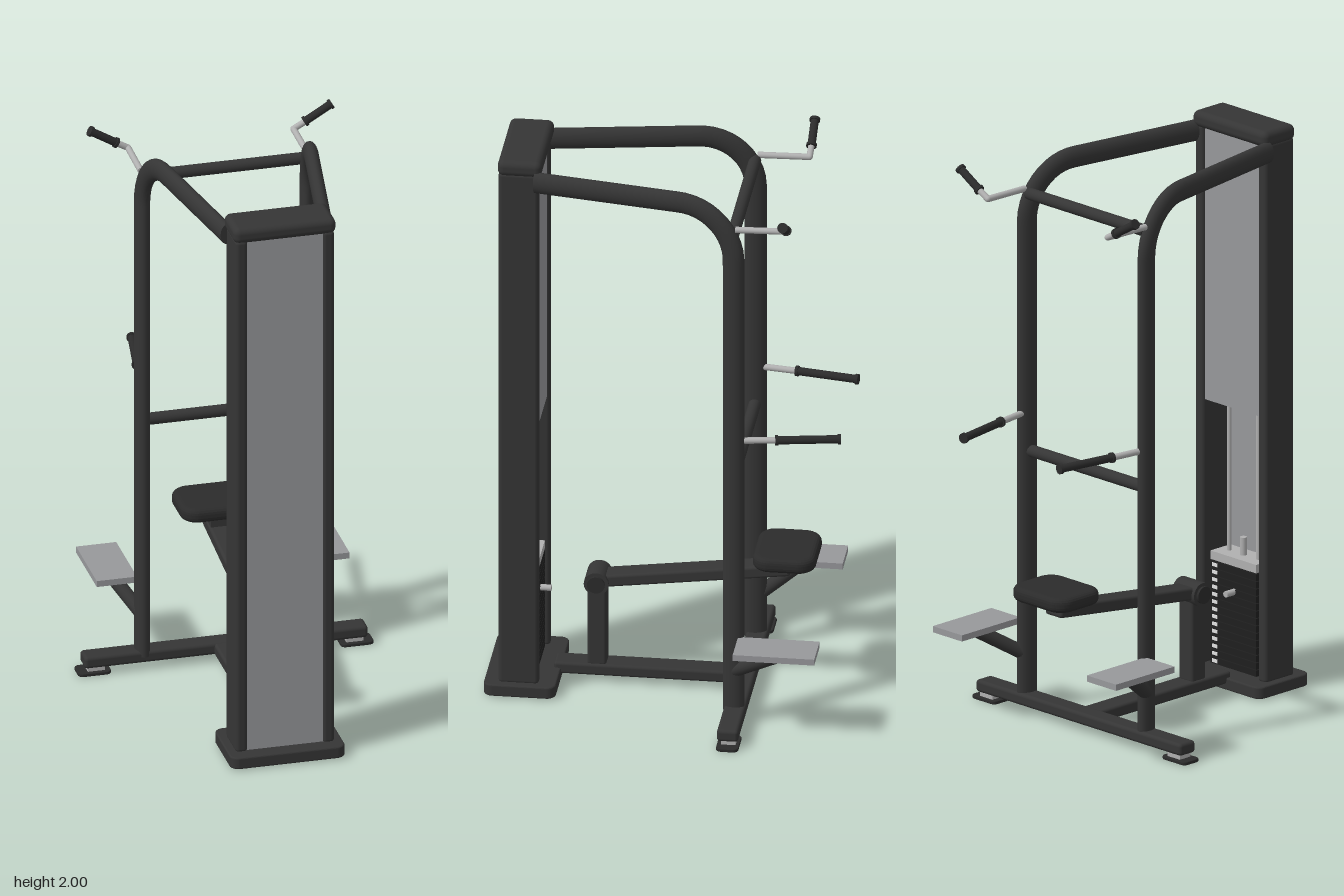
import * as THREE from 'three';
import { RoundedBoxGeometry } from 'three/addons/geometries/RoundedBoxGeometry.js';

export function createModel() {
  const model = new THREE.Group();
  model.name = 'gymMachine';
  const mat = (name, color) => {
    const m = new THREE.MeshStandardMaterial({ color });
    m.name = name;
    return m;
  };
  const frame = mat('frameCharcoal', 0x353535);
  const pad = mat('padBlack', 0x2b2b2b);
  const stackBlack = mat('stackBlack', 0x1f1f1f);
  const panel = mat('panelGrey', 0x97989b);
  const steel = mat('steel', 0xb0b0b0);
  const label = mat('labelWhite', 0xe0e0e0);

  const V = (x, y, z) => new THREE.Vector3(x, y, z);
  const add = (name, geo, material, parent = model) => {
    const m = new THREE.Mesh(geo, material);
    m.name = name;
    parent.add(m);
    return m;
  };
  // Box given by its extents along x, y and z; r rounds the edges
  const box = (name, material, [x0, x1], [y0, y1], [z0, z1], r = 0) => {
    const s = [x1 - x0, y1 - y0, z1 - z0];
    const geo = r ? new RoundedBoxGeometry(...s, 4, r) : new THREE.BoxGeometry(...s);
    const m = add(name, geo, material);
    m.position.set((x0 + x1) / 2, (y0 + y1) / 2, (z0 + z1) / 2);
    return m;
  };
  // Extents mirrored for the side s
  const side = (s, a, b) => (s > 0 ? [a, b] : [-b, -a]);
  // Round bar between two points
  const rod = (name, material, a, b, r) => {
    const d = b.clone().sub(a);
    const m = add(name, new THREE.CylinderGeometry(r, r, d.length(), 20), material);
    m.position.copy(a).add(b).multiplyScalar(0.5);
    m.quaternion.setFromUnitVectors(V(0, 1, 0), d.normalize());
    return m;
  };
  // Hand grip with an end flange at each end
  const grip = (name, a, b) => {
    rod(name, pad, a, b, 0.014);
    const d = b.clone().sub(a).normalize().multiplyScalar(0.01);
    rod(name + 'InnerFlange', pad, a, a.clone().add(d), 0.018);
    rod(name + 'OuterFlange', pad, b.clone().sub(d), b, 0.018);
  };
  // Rounded rectangle plate lying flat
  const plate = (w, d, h, r, bevel) => {
    const x = w / 2 - bevel, y = d / 2 - bevel;
    const sh = new THREE.Shape();
    sh.moveTo(-x + r, -y);
    sh.lineTo(x - r, -y).absarc(x - r, -y + r, r, -Math.PI / 2, 0, false);
    sh.lineTo(x, y - r).absarc(x - r, y - r, r, 0, Math.PI / 2, false);
    sh.lineTo(-x + r, y).absarc(-x + r, y - r, r, Math.PI / 2, Math.PI, false);
    sh.lineTo(-x, -y + r).absarc(-x + r, -y + r, r, Math.PI, Math.PI * 1.5, false);
    const g = new THREE.ExtrudeGeometry(sh, {
      depth: h - 2 * bevel, bevelEnabled: true, bevelSize: bevel,
      bevelThickness: bevel, bevelSegments: 4, curveSegments: 8,
    });
    return g.rotateX(-Math.PI / 2).translate(0, bevel, 0);
  };

  // Weight tower shell
  add('towerBase', plate(0.4, 0.245, 0.043, 0.025, 0.006), frame).position.set(0, 0.004, 0.488);
  box('towerCap', frame, [-0.178, 0.178], [1.943, 2], [0.415, 0.565], 0.022);
  box('frontPanel', panel, [-0.135, 0.135], [0.045, 1.95], [0.548, 0.555]);
  box('backPanel', panel, [-0.135, 0.135], [0.98, 1.95], [0.435, 0.442]);
  for (const s of [1, -1]) {
    box('towerPost', frame, side(s, 0.13, 0.172), [0.04, 1.955], [0.425, 0.562], 0.014);
    rod('guideRod', steel, V(s * 0.07, 0.045, 0.49), V(s * 0.07, 1.95, 0.49), 0.008);
  }

  // Weight stack with labels, top plate, stem and selector pin
  for (let i = 0; i < 14; i++) {
    const y = 0.05 + i * 0.0262;
    box('weightPlate', stackBlack, [-0.11, 0.11], [y, y + 0.022], [0.44, 0.535]);
    box('weightLabel', label, [0.075, 0.1], [y + 0.005, y + 0.017], [0.437, 0.44]);
  }
  box('stackCore', stackBlack, [-0.105, 0.105], [0.05, 0.415], [0.447, 0.53]);
  box('stackTopPlate', steel, [-0.11, 0.11], [0.417, 0.447], [0.44, 0.535]);
  rod('stackStem', steel, V(0, 0.44, 0.488), V(0, 0.51, 0.488), 0.012);
  rod('selectorPin', steel, V(0, 0.325, 0.403), V(0, 0.325, 0.445), 0.011);

  // Bent side frames: an oval tube up, round the bend and forward to the tower
  const path = new THREE.CurvePath();
  path.add(new THREE.LineCurve3(V(0, 0.05, 0), V(0, 1.735, 0)));
  path.add(new THREE.CubicBezierCurve3(V(0, 1.735, 0), V(0, 1.84, 0), V(0, 1.927, 0.087), V(0, 1.927, 0.192)));
  path.add(new THREE.LineCurve3(V(0, 1.927, 0.192), V(0, 1.927, 0.7)));
  const tubeGeo = new THREE.TubeGeometry(path, 90, 0.0375, 20, false);
  for (const s of [1, -1]) {
    const g = new THREE.Group();
    g.name = 'sideFrame';
    g.position.set(s * 0.287, 0, -0.253);
    g.rotation.y = -s * 0.168;
    g.scale.x = 0.66;
    model.add(g);
    add('sideTube', tubeGeo, frame, g);
    add('sideTubeEnd', new THREE.CircleGeometry(0.0375, 20), frame, g).position.set(0, 1.927, 0.7);
  }
  rod('upperCrossbar', frame, V(-0.28, 1.835, -0.252), V(0.28, 1.835, -0.252), 0.021);
  rod('middleCrossbar', frame, V(-0.28, 0.925, -0.252), V(0.28, 0.925, -0.252), 0.021);

  // Floor frame
  box('rearFloorBar', frame, [-0.493, 0.493], [0.027, 0.07], [-0.295, -0.222], 0.012);
  box('centreFloorBeam', frame, [-0.042, 0.042], [0.025, 0.067], [-0.235, 0.39], 0.01);
  for (const s of [1, -1]) {
    add('floorPad', plate(0.115, 0.076, 0.012, 0.015, 0.003), pad).position.set(s * 0.457, 0, -0.259);
    box('floorPadBlock', steel, side(s, 0.42, 0.48), [0.011, 0.03], [-0.285, -0.235]);
  }

  // Seat post, pivot and swinging arm
  box('pivotPost', frame, [-0.034, 0.034], [0.06, 0.37], [0.213, 0.278], 0.01);
  rod('pivotHub', frame, V(-0.052, 0.373, 0.245), V(0.052, 0.373, 0.245), 0.042);
  rod('pivotCap', pad, V(-0.061, 0.373, 0.245), V(0.061, 0.373, 0.245), 0.03);
  const arm = box('seatArm', frame, [-0.04, 0.04], [-0.022, 0.022], [-0.33, 0.33], 0.01);
  arm.position.set(0, 0.417, -0.083);
  arm.rotation.x = 0.128;
  box('seatBracket', frame, [-0.035, 0.035], [0.455, 0.492], [-0.4, -0.3]);
  add('seat', plate(0.262, 0.215, 0.052, 0.04, 0.02), pad).position.set(0, 0.488, -0.398);

  for (const s of [1, -1]) {
    // Foot plates on slanted supports
    box('footPlate', panel, side(s, 0.3, 0.44), [0.308, 0.33], [-0.547, -0.27]);
    rod('footPlateSupport', frame, V(s * 0.285, 0.195, -0.25), V(s * 0.372, 0.303, -0.415), 0.024);

    // Middle handles
    rod('middleHandleRod', steel, V(s * 0.287, 1.06, -0.26), V(s * 0.267, 1.06, -0.4), 0.011);
    grip('middleHandleGrip', V(s * 0.268, 1.06, -0.392), V(s * 0.23, 1.06, -0.61));

    // Upper handles
    const elbow = V(s * 0.288, 1.856, -0.436);
    rod('upperHandleRod', steel, V(s * 0.289, 1.852, -0.26), elbow, 0.011);
    add('upperHandleElbow', new THREE.SphereGeometry(0.011, 16, 10), steel).position.copy(elbow);
    rod('upperHandleStem', steel, elbow, V(s * 0.34, 1.885, -0.437), 0.011);
    grip('upperHandleGrip', V(s * 0.325, 1.877, -0.437), V(s * 0.422, 1.935, -0.437));
  }
  return model;
}
